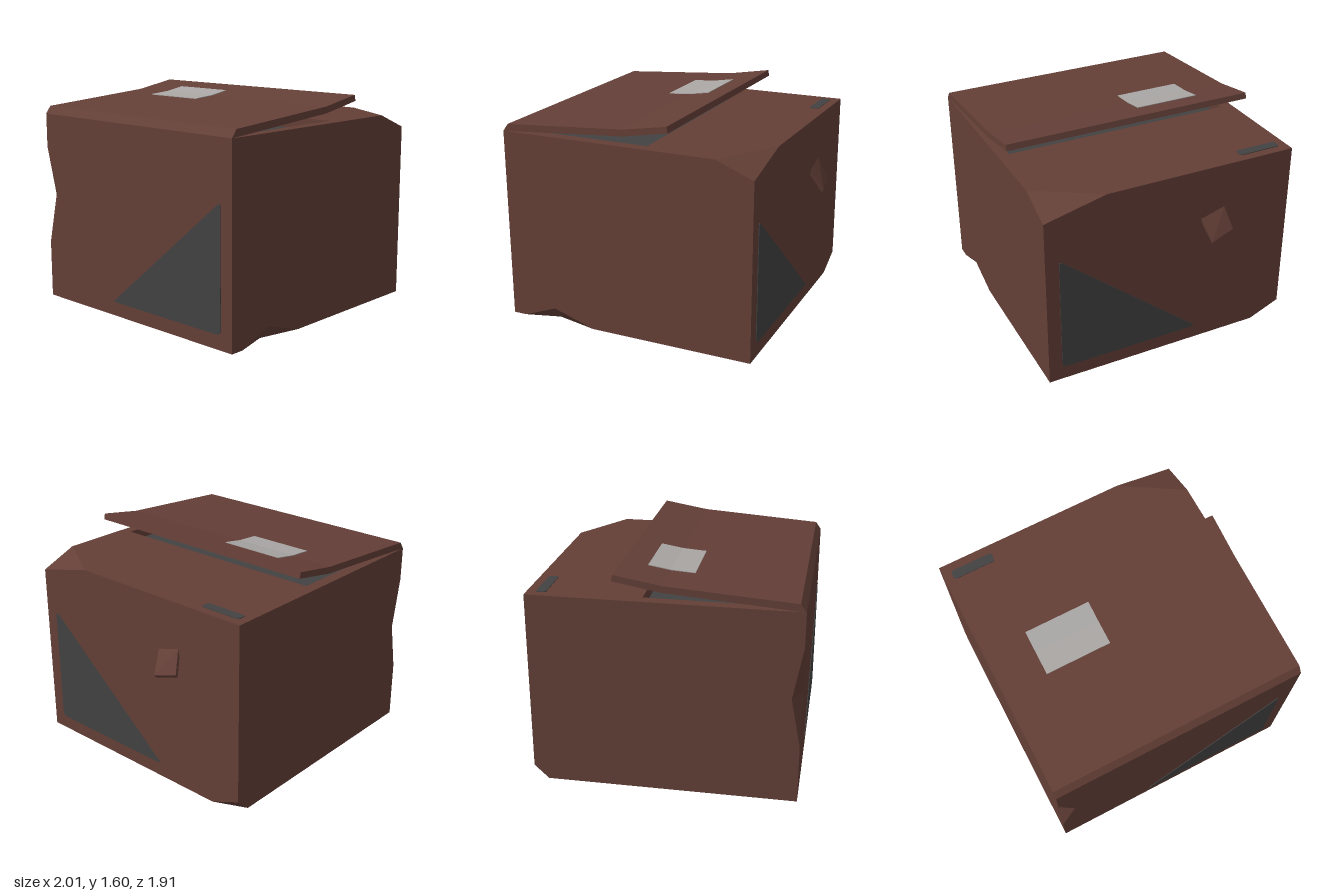
import * as THREE from 'three';
import { ConvexGeometry } from 'three/addons/geometries/ConvexGeometry.js';

const L = -1, R = 0.905, F = 0.955, B = -0.955, H = 1.42;

// Fills planar polygons (with optional holes) facing the given outward direction
function polygons(list) {
  const pos = [];
  for (const { pts, out, holes = [] } of list) {
    const n = new THREE.Vector3(...out);
    const size = n.toArray().map(Math.abs);
    const drop = size.indexOf(Math.max(...size));
    const flat = (ring) => ring.map((p) => new THREE.Vector2(...p.filter((_, i) => i !== drop)));
    const rings = [pts, ...holes];
    for (const ring of rings) {
      const area = THREE.ShapeUtils.area(flat(ring));
      if ((area < 0) === (ring === pts)) ring.reverse();
    }
    const all = rings.flat().map((p) => new THREE.Vector3(...p));
    for (const t of THREE.ShapeUtils.triangulateShape(flat(pts), holes.map(flat))) {
      const [a, b, c] = t.map((i) => all[i]);
      const normal = b.clone().sub(a).cross(c.clone().sub(a));
      const order = normal.dot(n) < 0 ? [a, c, b] : [a, b, c];
      order.forEach((v) => pos.push(v.x, v.y, v.z));
    }
  }
  const geo = new THREE.BufferGeometry();
  geo.setAttribute('position', new THREE.Float32BufferAttribute(pos, 3));
  geo.computeVertexNormals();
  return geo;
}

// Polygon outline with softened corners
function roundedShape(points, r) {
  const p = points.map((q) => new THREE.Vector2(...q));
  const shape = new THREE.Shape();
  p.forEach((c, i) => {
    const prev = p[(i + p.length - 1) % p.length];
    const next = p[(i + 1) % p.length];
    const a = c.clone().add(prev.clone().sub(c).setLength(r));
    const b = c.clone().add(next.clone().sub(c).setLength(r));
    if (i) shape.lineTo(a.x, a.y);
    else shape.moveTo(a.x, a.y);
    shape.quadraticCurveTo(c.x, c.y, b.x, b.y);
  });
  shape.closePath();
  return shape;
}

const plate = (points, r) =>
  new THREE.ExtrudeGeometry(roundedShape(points, r), { depth: 0.005, bevelEnabled: false, curveSegments: 4 });

// Side-on profile swept between two depths
function sweep(profile, z0, z1) {
  const shape = new THREE.Shape(profile.map((p) => new THREE.Vector2(...p)));
  return new THREE.ExtrudeGeometry(shape, { depth: z1 - z0, bevelEnabled: false }).translate(0, 0, z0);
}

export function createModel() {
  const model = new THREE.Group();
  model.name = 'batteredBox';
  const material = (name, color) => {
    const m = new THREE.MeshStandardMaterial({ color });
    m.name = name;
    return m;
  };
  const brown = material('cardboardBrown', 0x643f37);
  const grey = material('darkGrey', 0x424242);
  const pale = material('labelGrey', 0xaaa7a5);
  const add = (name, geo, mat) => {
    const mesh = new THREE.Mesh(geo, mat);
    mesh.name = name;
    model.add(mesh);
  };

  // Each wall as [u, v] outlines set on its plane
  const onX = (x, list) => list.map(([z, y]) => [x, y, z]);
  const onY = (y, list) => list.map(([x, z]) => [x, y, z]);
  const onZ = (z, list) => list.map(([x, y]) => [x, y, z]);

  // Dent corners
  const pushed = [-0.64, 0, 0.88], peak = [-0.64, 0.1, F];
  const dentBack = [-0.93, 0.79, B], dentSide = [L, 0.8, -0.84];
  const edgeTop = [L, 1.17, B], edgeLow = [L, 0.43, B];

  // Opening under the lid
  const x0 = -0.91, x1 = 0.1, zo = 0.87, floorY = H - 0.08;
  const rim = [[x0, -zo], [x1, -zo], [x1, zo], [x0, zo]];

  // Box shell with crushed corners and edges
  add('boxBody', polygons([
    { out: [0, 1, 0], pts: onY(H, [[L, B], [R, B], [R, 0.5], [0.63, F], [L, F]]), holes: [onY(H, rim)] },
    { out: [0, 0, 1], pts: onZ(F, [[L, 0], [-0.9, 0], [-0.64, 0.1], [-0.32, 0], [R, 0], [R, 1.31], [0.63, H], [L, H]]) },
    { out: [1, 0, 0], pts: onX(R, [[F, 0], [-0.72, 0], [B, 0.1], [B, H], [0.5, H], [F, 1.31]]) },
    { out: [0, 0, -1], pts: onZ(B, [[0.8, 0], [L, 0], [L, 0.43], [-0.93, 0.79], [L, 1.17], [L, H], [R, H], [R, 0.1]]) },
    { out: [-1, 0, 0], pts: onX(L, [[B, 0], [F, 0], [F, H], [B, H], [B, 1.17], [-0.84, 0.8], [B, 0.43]]) },
    { out: [0, -1, 0], pts: onY(0, [[L, B], [0.8, B], [R, -0.72], [R, F], [-0.32, F], [-0.64, 0.88], [-0.9, F], [L, F]]) },
    // crushed top and bottom corners
    { out: [0.3, 1, 0.2], pts: [[0.63, H, F], [R, H, 0.5], [R, 1.31, F]] },
    { out: [0.6, -1, -0.3], pts: [[0.8, 0, B], [R, 0, -0.72], [R, 0.1, B]] },
    // pushed-in front bottom edge
    { out: [0.2, -0.5, 1], pts: [[-0.9, 0, F], peak, pushed] },
    { out: [-0.2, -0.5, 1], pts: [[-0.32, 0, F], peak, pushed] },
    // folded vertical back edge
    { out: [-1, -0.2, -0.8], pts: [edgeTop, dentBack, dentSide] },
    { out: [-1, 0.2, -0.8], pts: [edgeLow, dentBack, dentSide] },
    // inner walls of the opening
    { out: [1, 0, 0], pts: onX(x0, [[-zo, floorY], [zo, floorY], [zo, H], [-zo, H]]) },
    { out: [-1, 0, 0], pts: onX(x1, [[-zo, floorY], [zo, floorY], [zo, H], [-zo, H]]) },
    { out: [0, 0, 1], pts: onZ(-zo, [[x0, floorY], [x1, floorY], [x1, H], [x0, H]]) },
    { out: [0, 0, -1], pts: onZ(zo, [[x0, floorY], [x1, floorY], [x1, H], [x0, H]]) },
  ]), brown);
  add('openingFloor', polygons([{ out: [0, 1, 0], pts: onY(floorY, rim) }]), grey);

  // Bent lid, hinged on the right edge
  add('lid', sweep([[L, H], [-0.9, 1.427], [-0.04, 1.493], [0.295, 1.553], [0.285, 1.597],
    [-0.05, 1.54], [-0.96, 1.475]], B, F), brown);
  add('lidLabel', sweep([[-0.22, 1.524], [-0.05, 1.536], [0.11, 1.563], [0.11, 1.572],
    [-0.05, 1.545], [-0.22, 1.533]], -0.63, -0.14), pale);

  // Dark strip on the top
  add('topStrip', plate([[0.77, 0.57], [0.84, 0.57], [0.84, 0.89], [0.77, 0.89]], 0.02)
    .rotateX(-Math.PI / 2).translate(0, H, 0), grey);

  // Dark triangles on both sides
  for (const s of [1, -1]) {
    const tri = [[0.855, 0.105], [0.855, 1.0], [-0.22, 0.105]].map(([z, y]) => [-s * z, y]);
    add(s > 0 ? 'leftTriangle' : 'rightTriangle',
      plate(tri, 0.035).rotateY(s * Math.PI / 2).translate(s > 0 ? R : L, 0, 0), grey);
  }

  // Torn tab hanging from the left side
  const tab = [[R, 1.03, -0.23], [R, 1.085, -0.415], [0.975, 0.925, -0.455], [1, 0.875, -0.275]];
  const tabPoints = tab.flatMap(([x, y, z]) => [
    new THREE.Vector3(x, y, z), new THREE.Vector3(x - 0.015, y - 0.018, z - 0.004)]);
  add('tornTab', new ConvexGeometry(tabPoints), brown);

  return model;
}
